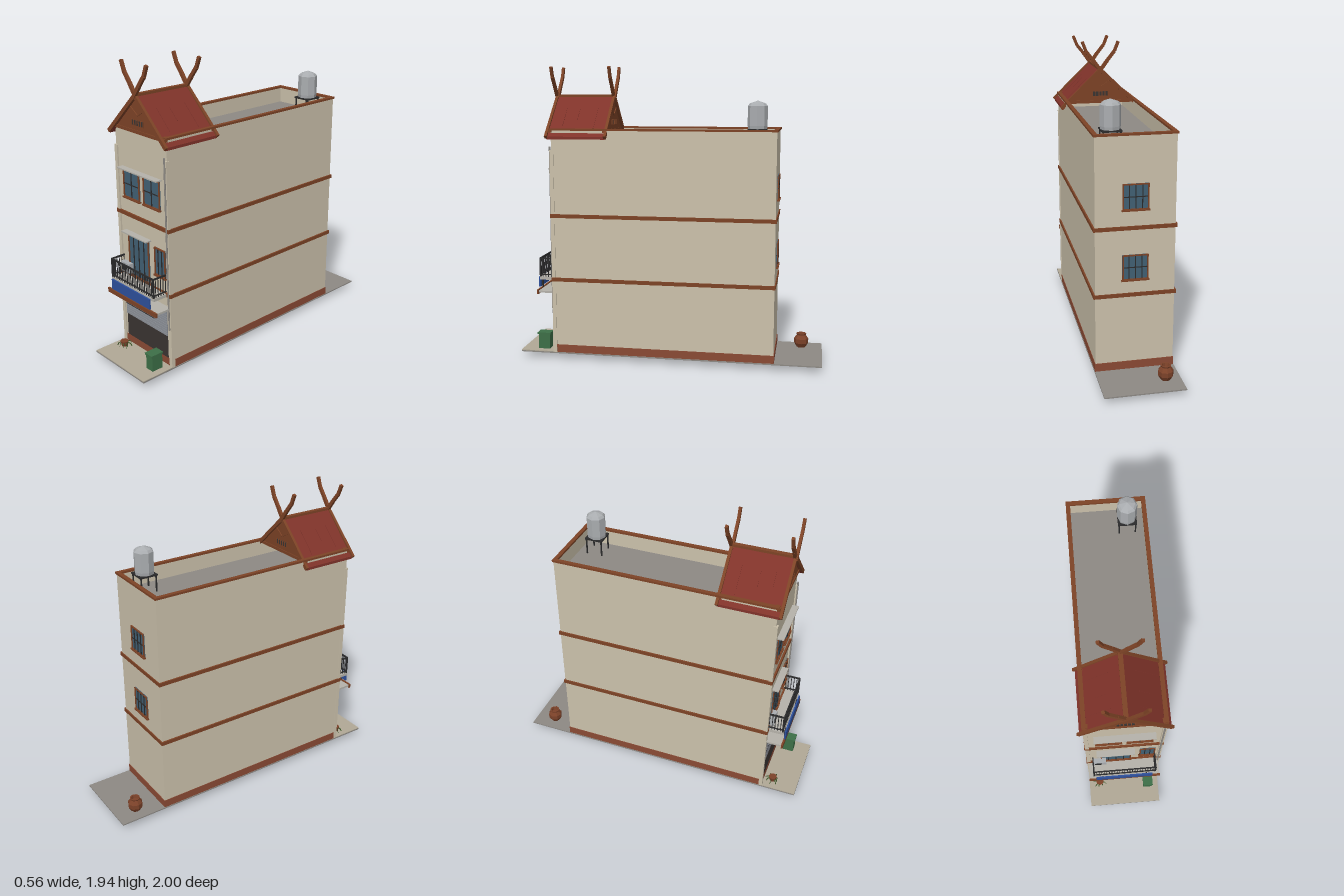
import * as THREE from 'three';

const COLORS = {
  wall: 0xcbc1ab, brown: 0x7d4326, plinth: 0x8a4a34, red: 0x80332a, dark: 0x2b2b2c, void: 0x3a3432,
  glass: 0x416074, shutter: 0x8d9199, concrete: 0x8d8984, pave: 0xb0a896, blue: 0x2e509c,
  green: 0x3d6f47, metal: 0xaaadb0, awning: 0xb5b2aa, clay: 0x7c4229, leaf: 0x3f5a2c,
};
const mats = {};
for (const k in COLORS) {
  mats[k] = new THREE.MeshStandardMaterial({ color: COLORS[k], flatShading: true, side: THREE.DoubleSide });
}

export function createModel() {
  const model = new THREE.Group();
  const group = (name) => { const g = new THREE.Group(); g.name = name; model.add(g); return g; };
  const add = (parent, name, geo, mat) => {
    const m = new THREE.Mesh(geo, mats[mat]);
    m.name = name;
    parent.add(m);
    return m;
  };
  // Box given by its minimum and maximum on each axis
  const box = (parent, name, mat, x0, x1, y0, y1, z0, z1) => {
    const m = add(parent, name, new THREE.BoxGeometry(x1 - x0, y1 - y0, z1 - z0), mat);
    m.position.set((x0 + x1) / 2, (y0 + y1) / 2, (z0 + z1) / 2);
    return m;
  };
  // Square bar between two points
  const bar = (parent, name, mat, a, b, w, d) => {
    const p = new THREE.Vector3(...a), q = new THREE.Vector3(...b);
    const m = add(parent, name, new THREE.BoxGeometry(w, p.distanceTo(q), d), mat);
    m.position.copy(p).add(q).multiplyScalar(0.5);
    m.quaternion.setFromUnitVectors(new THREE.Vector3(0, 1, 0), q.sub(p).normalize());
    return m;
  };

  // Ground
  const ground = group('ground');
  box(ground, 'groundSlab', 'concrete', -0.25, 0.25, 0.037, 0.045, -1, 1);
  box(ground, 'frontPavement', 'pave', -0.25, 0.25, 0.045, 0.05, 0.77, 1);

  // Main body, flat roof and parapet
  const body = group('building');
  box(body, 'walls', 'wall', -0.245, 0.245, 0.045, 1.42, -0.69, 0.765);
  box(body, 'roofDeck', 'concrete', -0.23, 0.23, 1.415, 1.425, -0.68, 0.755);
  for (const s of [-1, 1]) {
    const side = (name, mat, a, b, ...r) => box(body, name, mat, s > 0 ? a : -b, s > 0 ? b : -a, ...r);
    side('parapetSide', 'wall', 0.23, 0.245, 1.42, 1.525, -0.69, 0.765);
    side('parapetCapSide', 'brown', 0.225, 0.252, 1.525, 1.538, -0.697, 0.77);
    side('pilaster', 'wall', 0.225, 0.25, 0.045, 1.4, 0.75, 0.775);
  }
  box(body, 'parapetFront', 'wall', -0.245, 0.245, 1.42, 1.525, 0.75, 0.765);
  box(body, 'parapetBack', 'wall', -0.245, 0.245, 1.42, 1.525, -0.69, -0.675);
  box(body, 'parapetCapFront', 'brown', -0.252, 0.252, 1.525, 1.538, 0.745, 0.772);
  box(body, 'parapetCapBack', 'brown', -0.252, 0.252, 1.525, 1.538, -0.697, -0.67);
  box(body, 'plinth', 'plinth', -0.248, 0.248, 0.046, 0.098, -0.694, 0.768);
  for (const y of [0.543, 0.968]) box(body, 'floorBand', 'brown', -0.255, 0.255, y - 0.012, y + 0.012, -0.697, 0.777);

  // Shop front with half-raised roller shutter
  const shop = group('shopFront');
  box(shop, 'opening', 'void', -0.21, 0.205, 0.098, 0.26, 0.76, 0.768);
  for (let i = 0; i < 12; i++) {
    const y = 0.255 + i * 0.0165;
    box(shop, 'shutterSlat', 'shutter', -0.21, 0.205, y, y + 0.0145, 0.76, 0.772);
  }
  box(shop, 'shutterBack', 'shutter', -0.21, 0.205, 0.255, 0.455, 0.76, 0.769);
  box(shop, 'shutterSeam', 'dark', -0.21, 0.08, 0.327, 0.332, 0.77, 0.773);
  box(shop, 'canopy', 'awning', -0.24, 0.24, 0.447, 0.46, 0.765, 0.88);
  box(shop, 'canopyFascia', 'brown', -0.245, 0.245, 0.437, 0.466, 0.873, 0.885);
  box(shop, 'signBoard', 'blue', -0.195, 0.19, 0.475, 0.543, 0.878, 0.888);
  for (const x of [-0.15, 0.15]) box(shop, 'signBracket', 'dark', x - 0.004, x + 0.004, 0.465, 0.535, 0.868, 0.878);

  // Windows and balcony door; dir is the direction the wall faces
  const windowUnit = (name, x0, x1, y0, y1, zWall, dir, bars, rails) => {
    const g = group(name);
    const slab = (n, mat, a, b, c, d, t) =>
      box(g, n, mat, a, b, c, d, Math.min(zWall, zWall + dir * t), Math.max(zWall, zWall + dir * t));
    const f = 0.008;
    slab('glass', 'glass', x0, x1, y0, y1, 0.004);
    for (const x of [x0, x1 - f]) slab('frameSide', 'brown', x, x + f, y0, y1, 0.01);
    for (const y of [y0, y1 - f]) slab('frameRail', 'brown', x0, x1, y, y + f, 0.01);
    for (let i = 1; i <= bars; i++) {
      const x = x0 + (x1 - x0) * i / (bars + 1);
      slab('mullion', 'dark', x - 0.0025, x + 0.0025, y0, y1, 0.009);
    }
    for (let i = 1; i <= rails; i++) {
      const y = y0 + (y1 - y0) * i / (rails + 1);
      slab('crossBar', 'dark', x0, x1, y - 0.0025, y + 0.0025, 0.009);
    }
    slab('sill', 'brown', x0 - 0.006, x1 + 0.006, y0 - 0.006, y0 + 0.003, 0.016);
  };
  windowUnit('upperWindowRight', -0.178, -0.02, 1.078, 1.258, 0.765, 1, 1, 1);
  windowUnit('upperWindowLeft', 0.018, 0.175, 1.078, 1.258, 0.765, 1, 1, 1);
  windowUnit('balconyDoor', -0.155, 0.05, 0.557, 0.842, 0.765, 1, 3, 0);
  windowUnit('balconyWindow', 0.105, 0.208, 0.645, 0.828, 0.765, 1, 2, 0);
  for (const y of [0.64, 1.08]) windowUnit('backWindow', -0.08, 0.08, y, y + 0.16, -0.69, -1, 3, 1);

  // Thin awnings over the windows
  for (const [x0, x1, y] of [[-0.19, 0.19, 1.27], [-0.18, 0.07, 0.852]]) {
    box(model, 'windowAwning', 'awning', x0, x1, y - 0.004, y + 0.004, 0.765, 0.808);
  }

  // Balcony with railing and outdoor unit
  const balcony = group('balcony');
  box(balcony, 'balconySlab', 'awning', -0.215, 0.215, 0.53, 0.55, 0.765, 0.872);
  const zr = 0.868, xr = 0.208;
  for (const y of [0.565, 0.674]) {
    const h = y > 0.6 ? 0.005 : 0.003;
    box(balcony, 'railFront', 'dark', -xr, xr, y - h, y + h, zr - 0.004, zr + 0.004);
    for (const x of [-xr, xr]) box(balcony, 'railSide', 'dark', x - 0.004, x + 0.004, y - h, y + h, 0.77, zr);
  }
  for (let i = 0; i <= 24; i++) {
    const x = -xr + i * xr / 12, w = i % 24 ? 0.002 : 0.005;
    box(balcony, 'baluster', 'dark', x - w, x + w, 0.55, 0.676, zr - w, zr + w);
  }
  for (const x of [-xr, xr]) for (let i = 0; i < 5; i++) {
    const z = 0.775 + i * 0.019;
    box(balcony, 'sideBaluster', 'dark', x - 0.002, x + 0.002, 0.55, 0.676, z - 0.002, z + 0.002);
  }
  box(balcony, 'coolingUnit', 'metal', -0.205, -0.12, 0.575, 0.64, 0.77, 0.803);
  const fan = add(balcony, 'coolingFan', new THREE.CylinderGeometry(0.024, 0.024, 0.004, 12), 'dark');
  fan.rotation.x = Math.PI / 2;
  fan.position.set(-0.172, 0.608, 0.804);

  // Drain pipe
  const pipe = add(model, 'drainPipe', new THREE.CylinderGeometry(0.006, 0.006, 1.11, 8), 'concrete');
  pipe.position.set(0.236, 0.865, 0.777);

  // Gabled roof over the front
  const roof = group('gableRoof');
  const z0 = 0.4, z1 = 0.79;
  for (const s of [-1, 1]) {
    const p = new THREE.Shape([[0, 1.75], [s * 0.268, 1.487], [s * 0.268, 1.47], [0, 1.733]].map(v => new THREE.Vector2(...v)));
    add(roof, 'roofSlope', new THREE.ExtrudeGeometry(p, { depth: z1 - z0, bevelEnabled: false }), 'red').position.z = z0;
    // Raised tile lines running down the slope
    for (const [z, t0, t1] of [[0.7, 0.3, 0.75], [0.61, 0.35, 0.6], [0.49, 0.3, 0.8]]) {
      bar(roof, 'tileSeam', 'red', [s * 0.268 * t0, 1.751 - 0.263 * t0, z], [s * 0.268 * t1, 1.751 - 0.263 * t1, z], 0.004, 0.004);
    }
    for (const z of [z0, z1]) {
      bar(roof, 'bargeBoard', 'brown', [s * -0.008, 1.752, z], [s * 0.274, 1.482, z], 0.024, 0.018);
      // Crossed finials, bending outward at the tip
      const pts = [[-0.012, 1.725], [0.05, 1.81], [0.098, 1.87], [0.124, 1.935]];
      for (let i = 0; i < 3; i++) {
        bar(roof, 'finial', 'brown', [s * pts[i][0], pts[i][1], z + s * 0.004],
          [s * pts[i + 1][0], pts[i + 1][1], z + s * 0.004], 0.024 - i * 0.002, 0.018);
      }
    }
  }
  box(roof, 'ridge', 'brown', -0.014, 0.014, 1.74, 1.756, z0, z1);
  const tri = new THREE.Shape([[-0.225, 1.52], [0.225, 1.52], [0, 1.74]].map(v => new THREE.Vector2(...v)));
  for (const [z, dir] of [[z0 + 0.012, -1], [z1 - 0.02, 1]]) {
    add(roof, 'gablePanel', new THREE.ExtrudeGeometry(tri, { depth: 0.01, bevelEnabled: false }), 'brown').position.z = z - 0.005;
    const zf = z + dir * 0.007;
    for (const s of [-1, 1]) bar(roof, 'gableTrim', 'brown', [0, 1.622, zf], [s * 0.075, 1.672, zf], 0.008, 0.008);
    box(roof, 'ventPanel', 'void', -0.055, 0.055, 1.562, 1.592, zf - 0.003, zf + 0.003);
    for (let i = 0; i < 6; i++) {
      const x = -0.055 + i * 0.022;
      box(roof, 'ventBar', 'brown', x - 0.003, x + 0.003, 1.56, 1.594, zf - 0.006, zf + 0.006);
    }
    box(roof, 'gableSill', 'brown', -0.25, 0.25, 1.512, 1.532, z - 0.01, z + 0.01);
  }

  // Water tank on a stand
  const tank = group('waterTank');
  tank.position.set(0.125, 0, -0.56);
  const outline = [[0, 1.54], [0.06, 1.54], [0.063, 1.56], [0.063, 1.685], [0.05, 1.7], [0, 1.718]];
  add(tank, 'tank', new THREE.LatheGeometry(outline.map(v => new THREE.Vector2(...v)), 8), 'metal');
  box(tank, 'standTop', 'dark', -0.06, 0.06, 1.53, 1.54, -0.06, 0.06);
  for (const x of [-0.052, 0.052]) for (const z of [-0.052, 0.052]) {
    box(tank, 'standLeg', 'dark', x - 0.004, x + 0.004, 1.42, 1.53, z - 0.004, z + 0.004);
  }

  // Green bin by the shop
  const bin = group('bin');
  box(bin, 'binBody', 'green', 0.142, 0.203, 0.05, 0.15, 0.815, 0.893);
  box(bin, 'binLid', 'green', 0.138, 0.207, 0.15, 0.161, 0.81, 0.9);

  // Potted plant with drooping leaves
  const plant = group('pottedPlant');
  plant.position.set(-0.175, 0, 0.83);
  add(plant, 'pot', new THREE.CylinderGeometry(0.028, 0.02, 0.035, 8), 'clay').position.y = 0.0675;
  for (let i = 0; i < 9; i++) {
    const a = i * 2.4, r = 0.03 + (i % 3) * 0.007, c = Math.cos(a), s = Math.sin(a);
    bar(plant, 'leaf', 'leaf', [c * 0.008, 0.08, s * 0.008], [c * r, 0.068, s * r], 0.008, 0.002);
    bar(plant, 'leafTip', 'leaf', [c * r, 0.068, s * r], [c * (r + 0.012), i % 3 ? 0.04 : 0.002, s * (r + 0.012)], 0.006, 0.002);
  }

  // Clay jar behind the building
  const jarLine = [[0, 0.045], [0.03, 0.045], [0.048, 0.075], [0.048, 0.105], [0.03, 0.13], [0.034, 0.14], [0.025, 0.14], [0.02, 0.12], [0, 0.12]];
  const jar = add(model, 'jar', new THREE.LatheGeometry(jarLine.map(v => new THREE.Vector2(...v)), 8), 'clay');
  jar.position.set(-0.155, 0, -0.86);

  return model;
}
